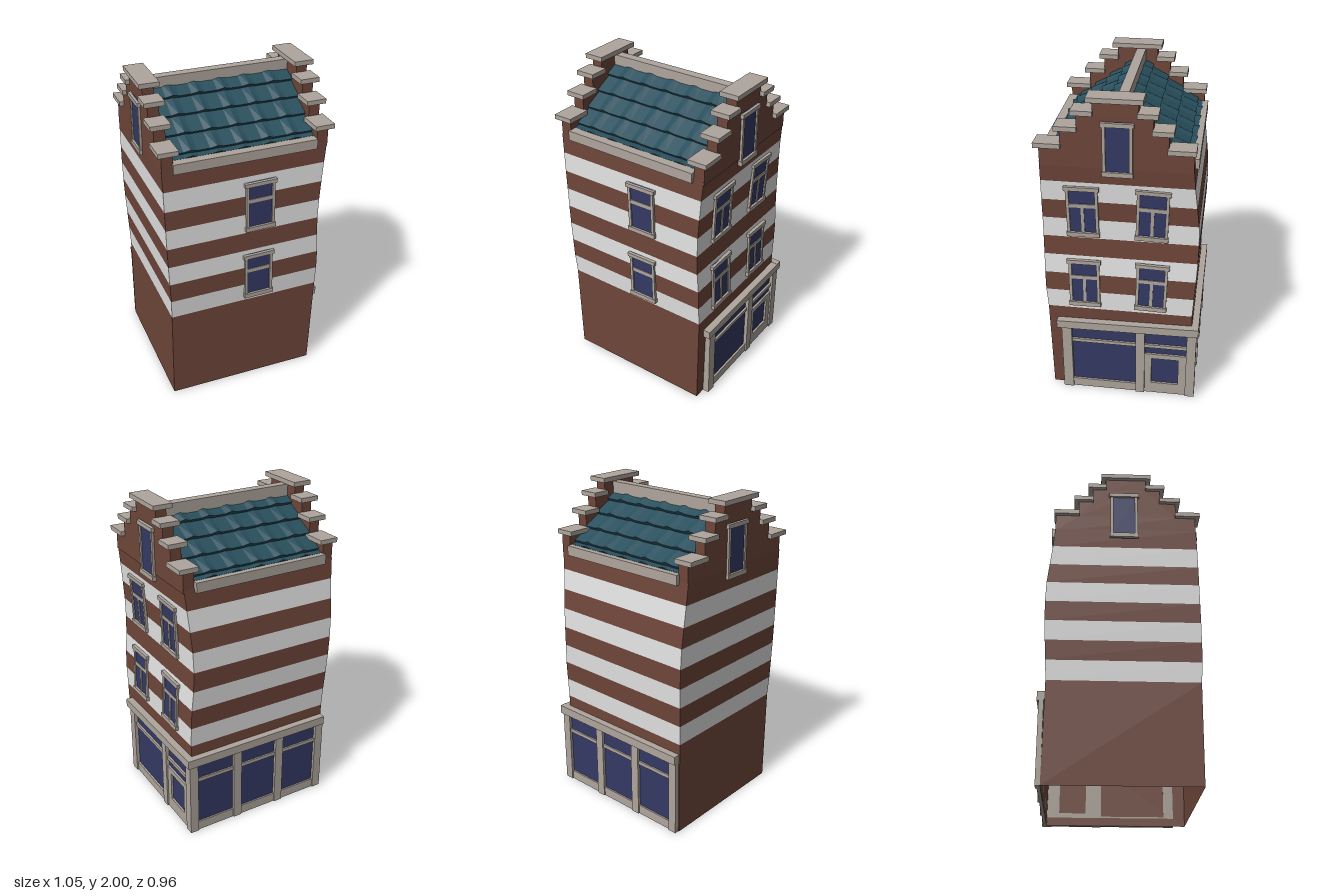
import * as THREE from 'three';

const mat = (name, color, extra = {}) => Object.assign(new THREE.MeshStandardMaterial({ color, ...extra }), { name });

export function createModel() {
  const model = new THREE.Group();
  model.name = 'townhouse';
  const brick = mat('brick brown', 0x6f463a, { side: THREE.DoubleSide });
  const plaster = mat('plaster white', 0xe4e4e4, { side: THREE.DoubleSide });
  const stone = mat('stone grey', 0xafa69d);
  const glass = mat('glass blue', 0x343964);
  const slate = mat('roof teal', 0x294f5d, { flatShading: true, side: THREE.DoubleSide });

  const add = (parent, name, geometry, material) => {
    const mesh = new THREE.Mesh(geometry, material);
    mesh.name = name;
    parent.add(mesh);
    return mesh;
  };
  // Box given by its limits on each axis
  const block = (parent, name, material, x0, x1, y0, y1, z0, z1) => {
    const g = new THREE.BoxGeometry(x1 - x0, y1 - y0, z1 - z0);
    g.translate((x0 + x1) / 2, (y0 + y1) / 2, (z0 + z1) / 2);
    return add(parent, name, g, material);
  };

  // Crooked walls: y, left x, right x, back z, front z at every band edge
  const levels = [
    [0, -0.475, 0.468, -0.44, 0.442],
    [0.607, -0.475, 0.48, -0.434, 0.45],
    [0.731, -0.479, 0.48, -0.44, 0.459],
    [0.855, -0.484, 0.477, -0.447, 0.46],
    [0.979, -0.489, 0.467, -0.453, 0.46],
    [1.103, -0.493, 0.463, -0.455, 0.459],
    [1.228, -0.496, 0.465, -0.45, 0.458],
    [1.35, -0.499, 0.472, -0.436, 0.457],
    [1.475, -0.502, 0.481, -0.421, 0.455],
    [1.6, -0.506, 0.492, -0.41, 0.452],
  ];
  const walls = new THREE.Group();
  walls.name = 'walls';
  model.add(walls);
  for (let i = 0; i < levels.length - 1; i++) {
    const g = new THREE.BoxGeometry(1, 1, 1);
    const p = g.attributes.position;
    for (let k = 0; k < p.count; k++) {
      const [y, x0, x1, z0, z1] = levels[p.getY(k) > 0 ? i + 1 : i];
      const right = p.getX(k) > 0;
      // bands rise slightly toward the right
      const lift = y === 0 ? 0 : right ? 0.004 : -0.002;
      p.setXYZ(k, right ? x1 : x0, y + lift, p.getZ(k) > 0 ? z1 : z0);
    }
    // the shell is hollow: drop the top and bottom faces
    const index = Array.from(g.index.array);
    index.splice(12, 12);
    g.setIndex(index);
    g.clearGroups();
    g.computeVertexNormals();
    add(walls, i % 2 ? 'whiteBand' : 'brickBand', g, i % 2 ? plaster : brick);
  }

  // Stepped gables with coping stones: front z, back z, top y of each step
  const steps = [
    [0.45, -0.41, 1.695],
    [0.33, -0.27, 1.8],
    [0.235, -0.185, 1.895],
    [0.147, -0.105, 1.972],
  ];
  const rise = (side) => steps.flatMap((s, i) => [[s[side], i ? steps[i - 1][2] : 1.58], [s[side], s[2]]]);
  const outline = [...rise(0), ...rise(1).reverse()];
  const gableShape = new THREE.Shape(outline.map(([z, y]) => new THREE.Vector2(-z, y)));
  for (const [x0, x1] of [[-0.504, -0.437], [0.428, 0.495]]) {
    const gable = new THREE.Group();
    gable.name = x0 > 0 ? 'leftGable' : 'rightGable';
    model.add(gable);
    const g = new THREE.ExtrudeGeometry(gableShape, { depth: x1 - x0, bevelEnabled: false });
    g.rotateY(Math.PI / 2).translate(x0, 0, 0);
    add(gable, 'gableWall', g, brick);
    const coping = (y, z0, z1) => block(gable, 'coping', stone, x0 - 0.026, x1 + 0.026, y, y + 0.028, z0, z1);
    steps.forEach(([f, b, y], i) => {
      const next = steps[i + 1];
      if (next) {
        coping(y, next[0] - 0.005, f + 0.027);
        coping(y, b - (i ? 0.028 : 0.01), next[1] + 0.005);
      } else coping(y, b - 0.028, f + 0.03);
    });
  }

  // Roof: overlapping rows of tiles with a ridged lower edge
  const rowEnds = [0, 0.092, 0.188, 0.285, 0.38, 0.408];
  const edge = [[-0.44, 0]];
  for (let k = -2; k <= 2; k++) {
    const c = -0.005 + k * 0.155;
    edge.push([c - 0.04, 0], [c, 0.014], [c + 0.04, 0]);
  }
  edge.push([0.43, 0]);
  const onSlope = (x, z, h) => [x, 1.925 - 0.72 * z + 0.81 * h, z + 0.58 * h];
  const tileRow = (zTop, zEnd) => {
    const pos = [];
    const quad = (a, b, c, d) => pos.push(...a, ...b, ...c, ...a, ...c, ...d);
    for (let i = 0; i < edge.length - 1; i++) {
      const [xa, ha] = edge[i], [xb, hb] = edge[i + 1];
      const a = onSlope(xa, zEnd, ha + 0.01), b = onSlope(xb, zEnd, hb + 0.01);
      quad(onSlope(xa, zTop, ha * 0.4 - 0.008), a, b, onSlope(xb, zTop, hb * 0.4 - 0.008));
      quad(a, onSlope(xa, zEnd, -0.013), onSlope(xb, zEnd, -0.013), b);
    }
    const g = new THREE.BufferGeometry();
    g.setAttribute('position', new THREE.Float32BufferAttribute(pos, 3));
    g.computeVertexNormals();
    return g;
  };
  for (const side of ['front', 'back']) {
    const slope = new THREE.Group();
    slope.name = side + 'RoofSlope';
    for (let r = 0; r < 5; r++) add(slope, 'tileRow', tileRow(rowEnds[r], rowEnds[r + 1]), slate);
    if (side === 'back') {
      slope.rotation.y = Math.PI;
      slope.position.set(-0.01, 0, 0.015);
    }
    model.add(slope);
  }
  block(model, 'ridge', stone, -0.44, 0.43, 1.87, 1.965, -0.031, 0.026);
  block(model, 'frontEave', stone, -0.442, 0.425, 1.578, 1.638, 0.34, 0.466);
  block(model, 'backEave', stone, -0.442, 0.425, 1.578, 1.638, -0.434, -0.34);

  // Windows: built facing +z around their own middle
  const addWindow = (name, pos, turn, lean, w, h, style, roll = 0) => {
    const win = new THREE.Group();
    win.name = name;
    const hw = w / 2, hh = h / 2;
    block(win, 'pane', glass, -hw, hw, -hh, hh, 0, 0.006);
    for (const s of [-1, 1]) {
      const x = s * (hw - 0.005);
      block(win, 'jamb', stone, x - 0.009, x + 0.009, -hh, hh, -0.005, 0.014);
    }
    block(win, 'lintel', stone, -hw - 0.013, hw + 0.013, hh - 0.025, hh, -0.005, 0.02);
    block(win, 'sill', stone, -hw - 0.008, hw + 0.008, -hh, -hh + 0.028, -0.005, 0.02);
    if (style !== 'plain') block(win, 'transom', stone, -hw, hw, 0.028, 0.052, -0.005, 0.011);
    if (style === 'split') block(win, 'mullion', stone, -0.009, 0.009, -hh, 0.04, -0.005, 0.011);
    win.rotation.set(lean, turn, roll, 'YXZ');
    win.position.set(...pos);
    model.add(win);
  };
  const quarter = Math.PI / 2;
  addWindow('frontWindow', [0.079, 0.797, 0.46], 0, 0, 0.172, 0.31, 'cross', 0.02);
  addWindow('frontWindow', [0.079, 1.28, 0.459], 0, 0, 0.172, 0.32, 'cross', 0.02);
  for (const z of [0.22, -0.185]) {
    addWindow('sideWindow', [0.476, 0.8, z], quarter, -0.035, 0.178, 0.32, 'split', z > 0 ? 0.01 : -0.03);
    addWindow('sideWindow', [0.469, 1.288, z], quarter, 0.04, 0.178, 0.33, 'split', z > 0 ? 0.01 : -0.03);
  }
  addWindow('gableWindow', [0.495, 1.7, 0.01], quarter, 0, 0.16, 0.32, 'plain');
  addWindow('gableWindow', [-0.504, 1.7, 0.01], -quarter, 0, 0.16, 0.32, 'plain');

  // Shop front on the side wall; local x runs toward the back
  const shop = new THREE.Group();
  shop.name = 'sideShopFront';
  shop.rotation.y = quarter;
  model.add(shop);
  const part = (name, x0, x1, y0, y1, z1 = 0.5) => block(shop, name, stone, x0, x1, y0, y1, 0.469, z1);
  block(shop, 'shopGlass', glass, -0.35, 0.45, 0.01, 0.49, 0.481, 0.487);
  part('pillar', -0.37, -0.308, 0, 0.49, 0.51);
  part('pillar', 0.095, 0.15, 0, 0.49, 0.51);
  part('pillar', 0.41, 0.468, 0, 0.49, 0.51);
  part('baseRail', -0.31, 0.1, 0, 0.06);
  part('transom', -0.31, 0.1, 0.36, 0.383);
  part('transom', 0.15, 0.41, 0.36, 0.383);
  part('doorTop', 0.15, 0.41, 0.275, 0.31);
  part('doorBottom', 0.15, 0.41, 0, 0.08);
  part('doorStile', 0.15, 0.193, 0.08, 0.275);
  part('doorStile', 0.362, 0.41, 0.08, 0.275);
  part('cornice', -0.39, 0.476, 0.48, 0.533, 0.523).rotation.z = 0.012;

  // Shop front on the back wall: three equal bays
  const rear = new THREE.Group();
  rear.name = 'backShopFront';
  rear.rotation.y = Math.PI;
  model.add(rear);
  block(rear, 'shopGlass', glass, -0.48, 0.44, 0.01, 0.49, 0.444, 0.45);
  for (let i = 0; i < 4; i++) {
    const x = -0.482 + i * 0.308;
    block(rear, 'pillar', stone, x - 0.028, x + 0.028, 0, 0.49, 0.439, 0.468);
  }
  block(rear, 'baseRail', stone, -0.48, 0.44, 0, 0.06, 0.44, 0.46);
  block(rear, 'transom', stone, -0.48, 0.44, 0.36, 0.383, 0.437, 0.46);
  block(rear, 'cornice', stone, -0.523, 0.47, 0.485, 0.54, 0.436, 0.478);

  return model;
}
